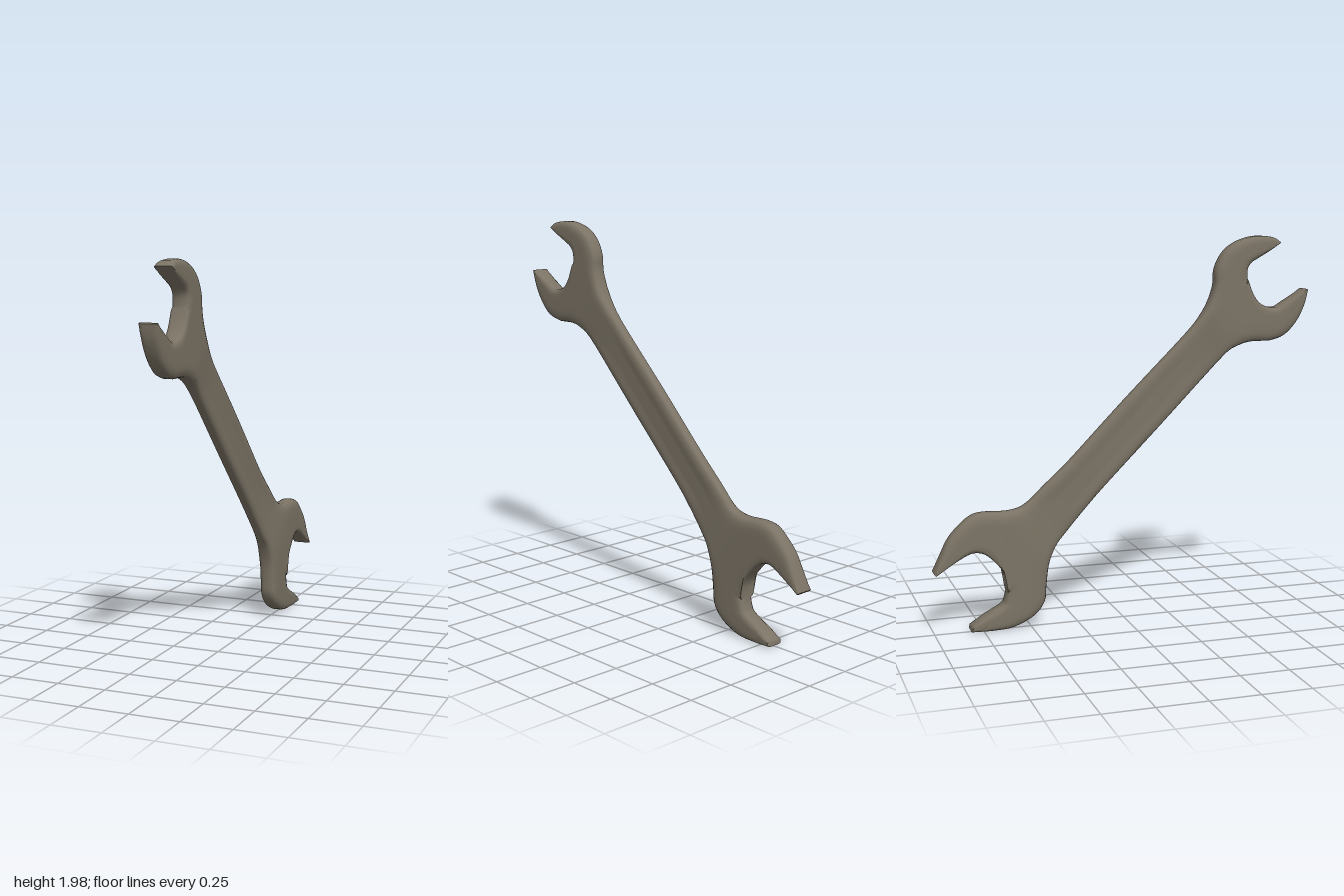
import * as THREE from 'three';
import { toCreasedNormals } from 'three/addons/utils/BufferGeometryUtils.js';

const STEPS = 4; // samples between neighbouring outline points
const smooth = THREE.MathUtils.smoothstep;

// Spline through [h, y] points, h running towards the back
function sample(points) {
  const curve = new THREE.SplineCurve(points.map(([h, y]) => new THREE.Vector2(h, y)));
  return Array.from({ length: (points.length - 1) * STEPS + 1 },
    (_, i) => curve.getPoint(i / ((points.length - 1) * STEPS)));
}

// Middle line of the handle, from one mouth to the other
const spine = [[-.66, 1.77], [-.60, 1.66], [-.54, 1.56], [-.48, 1.48], [-.415, 1.41], [-.09, 1.08],
  [.20, .785], [.33, .655], [.40, .56], [.47, .45], [.54, .33], [.625, .20]];

// Each half runs from jaw tip to jaw tip: outer edge, and the two mouth edges
const upper = {
  outer: [[-.84, 1.955], [-.80, 1.98], [-.70, 1.985], [-.60, 1.955], [-.53, 1.90], [-.49, 1.82],
    [-.485, 1.74], [-.46, 1.66], [-.42, 1.59], [-.33, 1.485], [0, 1.16], [.285, .87], [.42, .745],
    [.51, .66], [.565, .63], [.63, .62], [.69, .622], [.75, .622], [.80, .61], [.85, .575],
    [.92, .50], [.967, .405], [1, .33]],
  mouthA: [[-.83, 1.945], [-.79, 1.915], [-.73, 1.88], [-.68, 1.85], [-.66, 1.815], [-.66, 1.77]],
  mouthB: [[.625, .20], [.63, .28], [.675, .35], [.74, .41], [.81, .42], [.90, .375], [.99, .32]],
};
const lower = {
  outer: [[-1, 1.705], [-.985, 1.625], [-.94, 1.535], [-.875, 1.47], [-.80, 1.445], [-.75, 1.443],
    [-.70, 1.443], [-.65, 1.435], [-.61, 1.42], [-.57, 1.40], [-.50, 1.335], [-.18, 1.01],
    [.115, .715], [.23, .59], [.315, .49], [.37, .42], [.405, .33], [.42, .22], [.43, .135],
    [.485, .065], [.59, .015], [.70, .005], [.815, .01]],
  mouthA: [[-.99, 1.71], [-.94, 1.68], [-.88, 1.645], [-.82, 1.615], [-.74, 1.635], [-.69, 1.695], [-.66, 1.77]],
  mouthB: [[.625, .20], [.635, .16], [.65, .135], [.70, .105], [.755, .075], [.81, .035]],
};

// Thickness, sideways offset and handle hollow as functions of place along the handle
function thickness(p, k, hollow) {
  const a = (p.x - p.y + 1) / Math.SQRT2, d = Math.abs(a);
  const half = THREE.MathUtils.lerp(.032, .047, smooth(d, .55, .78));
  const offset = -.008 + (a < 0 ? -.002 : .012) * smooth(d, .3, .8);
  const dip = hollow * .16 * (1 - smooth(d, .42, .6));
  return [offset, half * (k - dip)];
}

// Adds the triangles of one half: closed cross-sections joined station by station
function addHalf(half, flip, out) {
  const outer = sample(half.outer);
  const a = sample(half.mouthA), b = sample(half.mouthB);
  const inner = [...a, ...sample(spine).slice(1), ...b.slice(1)];
  const start = a.length - 1, end = inner.length - b.length;

  const loops = outer.map((o, i) => {
    const inward = inner[i], w = o.distanceTo(inward), s = Math.min(1, w / .16);
    const open = i <= start || i >= end; // this station ends at a mouth
    const profile = [ // distance from outer edge, height, hollow
      [0, .42, 0], [.006 * s, .7, 0], [.018 * s, .88, 0], [.04 * s, .98, 0], [.065 * s, 1, 0],
      [.1 * s, 1, 1], [(w + .07 * s) / 2, 1, 1], [w - .03 * s, 1, 1],
      [w - .01 * s, open ? .9 : 1, 1], [w, open ? .65 : 1, 1],
    ];
    const front = [], back = [];
    for (const [d, k, hollow] of profile) {
      const p = o.clone().lerp(inward, w ? d / w : 0);
      const [c, t] = thickness(p, k, hollow);
      front.push([c + t, p.y, -p.x]);
      back.unshift([c - t, p.y, -p.x]);
    }
    return [...front, ...back];
  });

  const tri = (p, q, r) => out.push(...p, ...(flip ? r : q), ...(flip ? q : r));
  const quad = (p, q, r, s) => { tri(p, q, r); tri(p, r, s); };
  const n = loops[0].length, m = n / 2;

  for (let i = 0; i < loops.length - 1; i++) {
    for (let j = 0; j < n; j++) {
      // no wall along the middle line, where the halves meet
      if (j === m - 1 && i >= start && i < end) continue;
      const k = (j + 1) % n;
      quad(loops[i][j], loops[i][k], loops[i + 1][k], loops[i + 1][j]);
    }
  }
  // Jaw tips
  const first = loops[0], last = loops[loops.length - 1];
  for (let j = 0; j < m - 1; j++) {
    quad(first[n - 1 - j], first[n - 2 - j], first[j + 1], first[j]);
    quad(last[j], last[j + 1], last[n - 2 - j], last[n - 1 - j]);
  }
}

export function createModel() {
  const steel = new THREE.MeshStandardMaterial({ color: 0x7b7365 });
  steel.name = 'dull steel';

  const positions = [];
  addHalf(upper, false, positions);
  addHalf(lower, true, positions);

  const geometry = new THREE.BufferGeometry();
  geometry.setAttribute('position', new THREE.Float32BufferAttribute(positions, 3));

  const wrench = new THREE.Mesh(toCreasedNormals(geometry, 0.95), steel);
  wrench.name = 'doubleEndedWrench';

  const group = new THREE.Group();
  group.name = 'wrench';
  group.add(wrench);
  return group;
}
